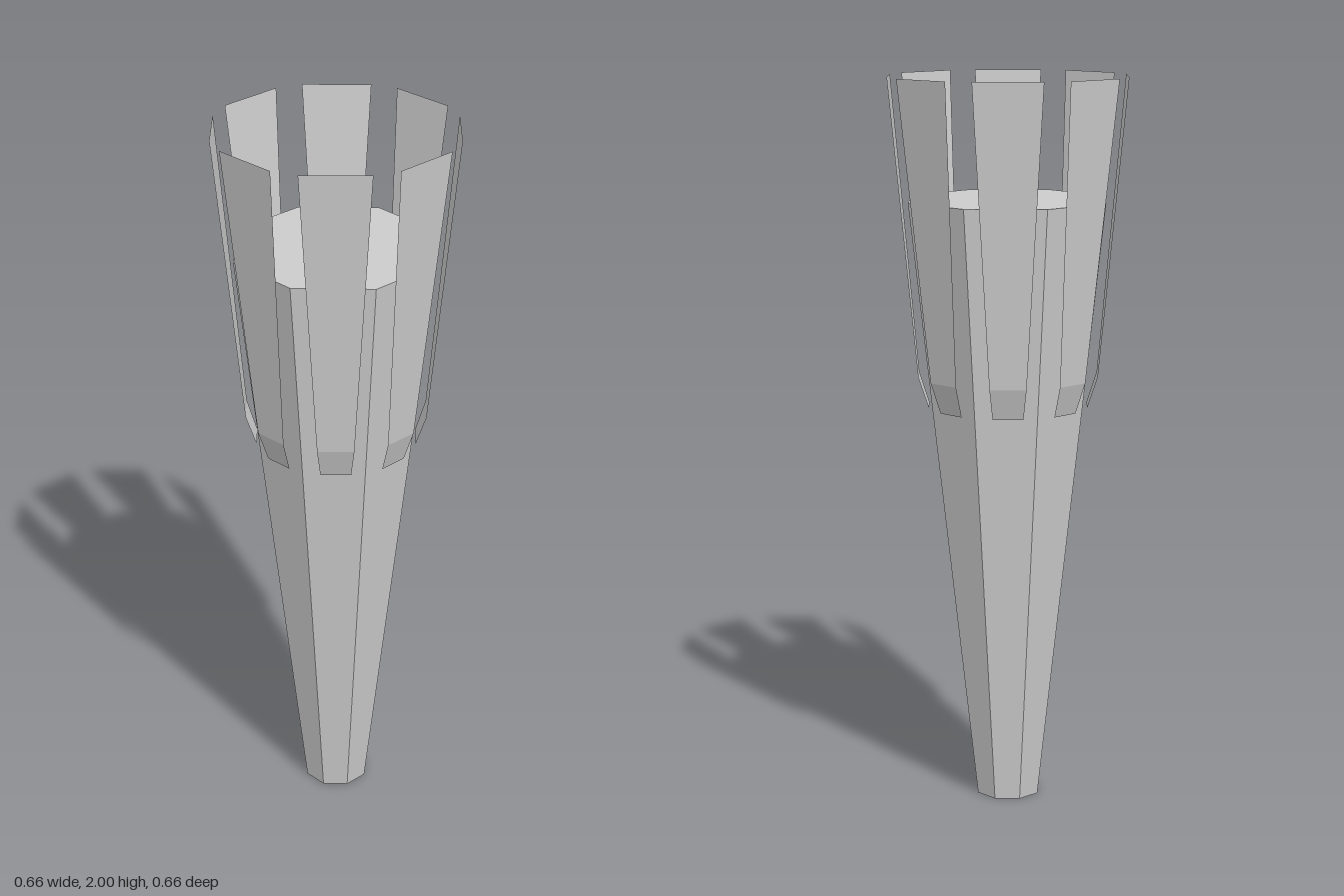
import * as THREE from 'three';

const SIDES = 8;

// Bent sheet: rows from top to bottom as [height, distance from axis, half width]
function slatGeometry() {
  const rows = [[2, 0.32, 0.0926], [1.19, 0.244, 0.049], [1.105, 0.216, 0.041]];
  const geometry = new THREE.PlaneGeometry(2, 1, 1, rows.length - 1);
  const pos = geometry.attributes.position;
  for (let i = 0; i < pos.count; i++) {
    const [y, z, half] = rows[Math.floor(i / 2)];
    pos.setXYZ(i, pos.getX(i) * half, y, z);
  }
  geometry.computeVertexNormals();
  return geometry;
}

export function createModel() {
  const model = new THREE.Group();
  model.name = 'taperedColumn';

  // Closed eight-sided shaft widening upwards
  const height = 1.67;
  const shaft = new THREE.Mesh(
    new THREE.CylinderGeometry(0.285, 0.09, height, SIDES),
    new THREE.MeshStandardMaterial({ color: 0xcccccc, flatShading: true })
  );
  shaft.name = 'shaft';
  shaft.position.y = height / 2;
  model.add(shaft);

  // Ring of thin slats, one per face, turned slightly past the face centres
  const slats = new THREE.Group();
  slats.name = 'slats';
  const geometry = slatGeometry();
  const material = new THREE.MeshStandardMaterial({
    color: 0xcccccc, flatShading: true, side: THREE.DoubleSide
  });
  for (let i = 0; i < SIDES; i++) {
    const slat = new THREE.Mesh(geometry, material);
    slat.name = 'slat';
    slat.rotation.y = THREE.MathUtils.degToRad(23.9 + (i * 360) / SIDES);
    slats.add(slat);
  }
  model.add(slats);

  return model;
}
